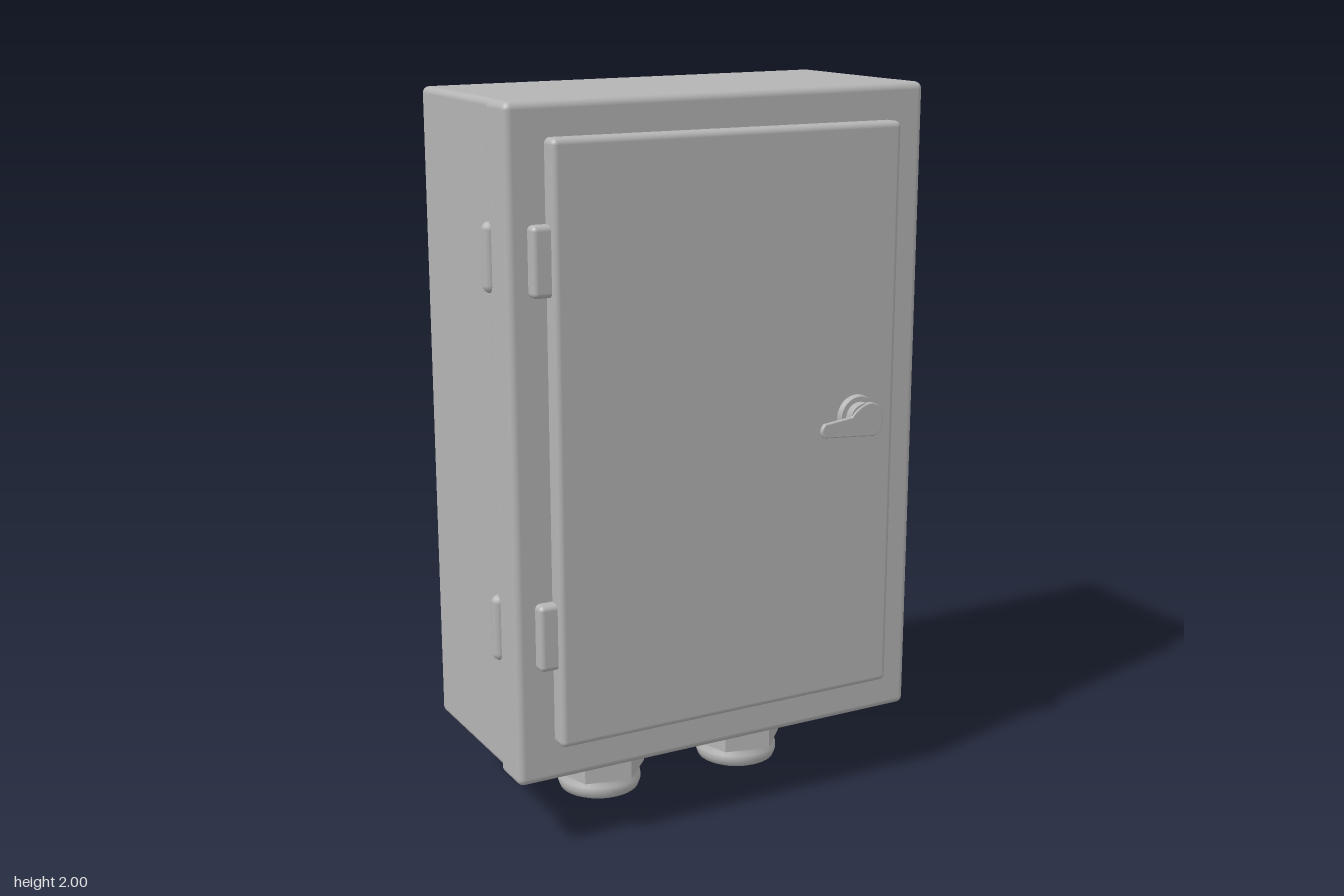
import * as THREE from 'three';
import { RoundedBoxGeometry } from 'three/addons/geometries/RoundedBoxGeometry.js';

export function createModel() {
  const model = new THREE.Group();
  model.name = 'electricalCabinet';
  const steel = new THREE.MeshStandardMaterial({ color: 0xb4b4b4 });
  steel.name = 'grey painted steel';

  // The whole cabinet hangs slightly turned
  const cabinet = new THREE.Group();
  cabinet.name = 'cabinet';
  cabinet.rotation.y = 0.037;
  model.add(cabinet);

  const add = (name, geometry, x = 0, y = 0, z = 0, parent = cabinet) => {
    const mesh = new THREE.Mesh(geometry, steel);
    mesh.name = name;
    mesh.position.set(x, y, z);
    parent.add(mesh);
    return mesh;
  };

  // Rounded box given by its limits; the worn sheet metal rises a little to the right
  const roundedPart = (name, [x0, x1], [y0, y1], [z0, z1], radius, skew = 0) => {
    const g = new RoundedBoxGeometry(x1 - x0, y1 - y0, z1 - z0, 4, radius);
    g.translate((x0 + x1) / 2, (y0 + y1) / 2, (z0 + z1) / 2);
    const p = g.attributes.position;
    for (let i = 0; i < p.count; i++) {
      if (p.getY(i) > 1) p.setY(i, p.getY(i) + skew * (p.getX(i) - p.getZ(i)));
    }
    return add(name, g);
  };

  // Housing, front frame and door
  roundedPart('housing', [-0.605, 0.605], [0.21, 1.987], [-0.325, 0.2], 0.018, 0.012);
  roundedPart('frontFrame', [-0.615, 0.61], [0.203, 1.987], [0.125, 0.25], 0.02, 0.012);
  roundedPart('door', [-0.511, 0.51], [0.31, 1.893], [0.235, 0.298], 0.016, 0.004);

  // Hinges: a leaf beside the door and a barrel on the side of the frame
  for (const y of [1.59, 0.615]) {
    roundedPart('hingeLeaf', [-0.56, -0.495], [y - 0.09, y + 0.09], [0.235, 0.282], 0.014);
    add('hingeBarrel', new THREE.CapsuleGeometry(0.02, 0.14, 4, 12), -0.612, y, 0.135);
  }

  // Door handle: round escutcheon, spindle and flat tapered lever
  const handle = new THREE.Group();
  handle.name = 'handle';
  handle.position.set(0.382, 1.105, 0.295);
  cabinet.add(handle);
  const disc = (name, r0, r1, depth, z) => {
    const m = add(name, new THREE.CylinderGeometry(r1, r0, depth, 32), 0, 0, z, handle);
    m.rotation.x = Math.PI / 2;
  };
  disc('handlePlate', 0.06, 0.056, 0.02, 0.01);
  disc('handleSpindle', 0.042, 0.042, 0.03, 0.03);
  const lever = new THREE.Shape();
  lever.moveTo(-0.128, -0.036);
  lever.lineTo(0.03, -0.048);
  lever.quadraticCurveTo(0.056, -0.045, 0.056, -0.01);
  lever.quadraticCurveTo(0.056, 0.04, 0.015, 0.04);
  lever.quadraticCurveTo(-0.015, 0.036, -0.04, 0.006);
  lever.lineTo(-0.125, -0.004);
  lever.quadraticCurveTo(-0.14, -0.02, -0.128, -0.036);
  add('handleLever', new THREE.ExtrudeGeometry(lever, {
    depth: 0.008, bevelEnabled: true, bevelSize: 0.003, bevelThickness: 0.003, bevelSegments: 2, curveSegments: 8,
  }), 0, 0, 0.039, handle);

  // Cable glands: tapered neck, hexagonal nut, rounded cap
  const lathe = (pts) => new THREE.LatheGeometry(pts.map(([r, y]) => new THREE.Vector2(r, y)), 36);
  for (const x of [-0.233, 0.222]) {
    const gland = new THREE.Group();
    gland.name = 'cableGland';
    gland.position.set(x, 0, -0.06);
    cabinet.add(gland);
    add('glandNeck', lathe([[0.1, 0.15], [0.095, 0.175], [0.112, 0.2], [0.115, 0.225]]), 0, 0, 0, gland);
    const nut = new THREE.CylinderGeometry(0.134, 0.134, 0.1, 6).toNonIndexed();
    nut.computeVertexNormals();
    add('glandNut', nut, 0, 0.113, 0, gland).rotation.y = 0.3;
    add('glandShoulder', lathe([[0.128, 0.155], [0.122, 0.168], [0.1, 0.176], [0, 0.176]]), 0, 0, 0, gland);
    add('glandCap', lathe([[0, 0], [0.095, 0.003], [0.113, 0.012], [0.119, 0.028],
      [0.119, 0.045], [0.11, 0.052], [0.11, 0.07]]), 0, 0, 0, gland);
  }
  return model;
}
